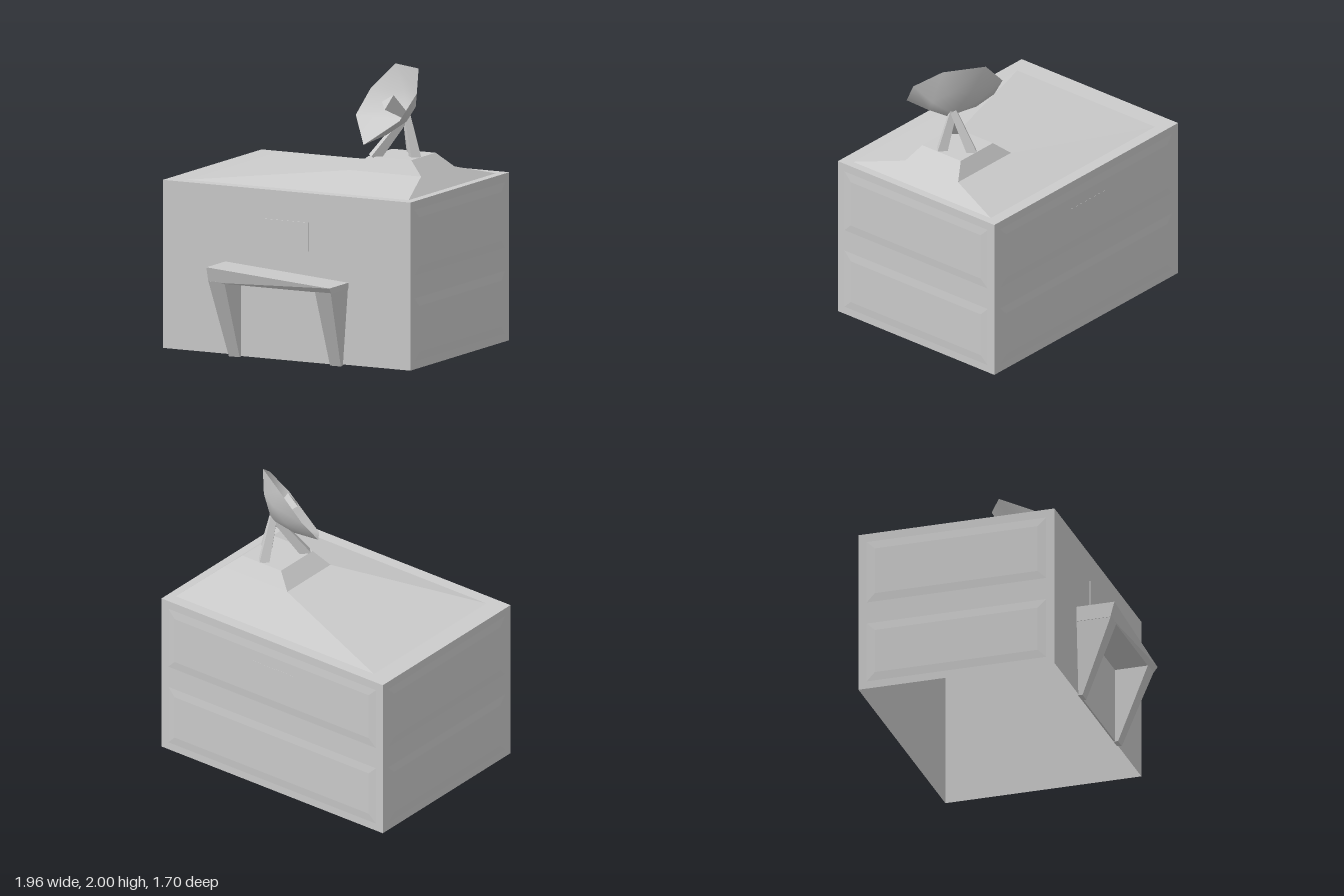
import * as THREE from 'three';

const mat = new THREE.MeshStandardMaterial({ color: 0xcccccc, side: THREE.DoubleSide });
const flat = new THREE.MeshStandardMaterial({ color: 0xcccccc, side: THREE.DoubleSide, flatShading: true });
const V = (x, y, z) => new THREE.Vector3(x, y, z);

function add(parent, name, geometry, material = flat) {
  const mesh = new THREE.Mesh(geometry, material);
  mesh.name = name;
  parent.add(mesh);
  return mesh;
}

// Stack of rectangles [x0, x1, z0, z1, y] joined by sloping sides; the last one is closed.
function rectLoft(levels) {
  const pos = [], idx = [];
  for (const [x0, x1, z0, z1, y] of levels) pos.push(x0, y, z1, x1, y, z1, x1, y, z0, x0, y, z0);
  for (let l = 0; l < levels.length - 1; l++) {
    for (let i = 0; i < 4; i++) {
      const a = l * 4 + i, b = l * 4 + (i + 1) % 4;
      idx.push(a, b, b + 4, a, b + 4, a + 4);
    }
  }
  const t = (levels.length - 1) * 4;
  idx.push(t, t + 1, t + 2, t, t + 2, t + 3);
  const g = new THREE.BufferGeometry();
  g.setAttribute('position', new THREE.Float32BufferAttribute(pos, 3));
  g.setIndex(idx);
  g.computeVertexNormals();
  return g;
}

// Tapered bar between two points
function bar(parent, name, from, to, r0, r1, sides) {
  const dir = to.clone().sub(from);
  const mesh = add(parent, name, new THREE.CylinderGeometry(r1, r0, dir.length(), sides));
  mesh.position.copy(from).add(to).multiplyScalar(0.5);
  mesh.quaternion.setFromUnitVectors(V(0, 1, 0), dir.normalize());
  return mesh;
}

// Walls and roof slab, open underneath
function buildWalls(parent) {
  const g = new THREE.BoxGeometry(1.945, 1.175, 1.42);
  g.setIndex(Array.from(g.index.array).filter((_, i) => i < 18 || i > 23));
  g.clearGroups();
  add(parent, 'walls', g).position.set(-0.0025, 0.6025, -0.135);

  // Two shallow bevelled panels on the back and both sides
  const faces = [
    [-0.0025, -0.845, Math.PI, 1.945],
    [0.97, -0.135, Math.PI / 2, 1.42],
    [-0.975, -0.135, -Math.PI / 2, 1.42],
  ];
  for (const [x, z, turn, width] of faces) {
    for (const [y, h] of [[0.29, 0.44], [0.9, 0.46]]) {
      const w = width / 2 - 0.06, k = h / 2;
      const panel = rectLoft([[-w, w, -k, k, 0], [-w + 0.06, w - 0.06, -k + 0.06, k - 0.06, 0.005]]);
      panel.rotateX(Math.PI / 2);
      const mesh = add(parent, 'wallPanel', panel);
      mesh.position.set(x, y, z);
      mesh.rotation.y = turn;
    }
  }

  // Thin vent plates, front and back
  for (const z of [0.575, -0.845]) {
    add(parent, 'ventPlate', new THREE.BoxGeometry(0.36, 0.2, 0.012)).position.set(-0.01, 0.885, z);
  }
}

// Projecting doorway: lintel and two legs that taper back to the wall
function buildDoorway(parent) {
  const door = new THREE.Group();
  door.name = 'doorway';
  parent.add(door);
  add(door, 'doorPanel', new THREE.BoxGeometry(0.72, 0.55, 0.012)).position.set(0, 0.285, 0.577);

  const profile = (points, width) => {
    const shape = new THREE.Shape(points.map(([z, y]) => new THREE.Vector2(-z, y)));
    const g = new THREE.ExtrudeGeometry(shape, { depth: width, bevelEnabled: false });
    return g.rotateY(Math.PI / 2).translate(-width / 2, 0, 0);
  };
  const lintel = add(door, 'lintel', profile([[0.57, 0.55], [0.82, 0.55], [0.85, 0.645], [0.57, 0.645]], 0.965));
  // Top edge falls slightly toward the left
  const p = lintel.geometry.attributes.position;
  for (let i = 0; i < p.count; i++) {
    if (p.getY(i) > 0.6) p.setY(i, p.getX(i) < 0 ? 0.66 : 0.59);
  }
  for (const s of [-1, 1]) {
    const g = profile([[0.57, 0.01], [0.605, 0.005], [0.825, 0.56], [0.57, 0.56]], 0.12);
    const q = g.attributes.position;
    for (let i = 0; i < q.count; i++) {
      const outer = q.getX(i) * s > 0;
      q.setX(i, s * (outer ? (q.getY(i) < 0.1 ? 0.44 : 0.48) : 0.355));
    }
    g.computeVertexNormals();
    add(door, 'doorLeg', g);
  }
}

// Dish antenna: rim corners joined to a bowl bottom through a bulged middle ring
function buildDish(parent) {
  const dish = new THREE.Group();
  dish.name = 'dishAntenna';
  parent.add(dish);
  const hub = V(0.57, 1.64, -0.13);
  const facing = V(-0.48, 0.59, 0.65).normalize();
  const rim = [
    V(0.37, 1.48, 0.15), V(0.68, 1.68, 0.20), V(0.75, 1.86, 0.08), V(0.66, 2.0, -0.11),
    V(0.39, 1.99, -0.27), V(0.20, 1.80, -0.26), V(0.15, 1.63, -0.14),
  ];
  const n = rim.length;
  const mid = rim.map(r => hub.clone().lerp(r, 0.55).addScaledVector(facing, -0.025));
  const g = new THREE.BufferGeometry().setFromPoints([hub, ...mid, ...rim]);
  const idx = [];
  for (let i = 0; i < n; i++) {
    const a = 1 + i, b = 1 + (i + 1) % n;
    idx.push(0, a, b, a, a + n, b + n, a, b + n, b);
  }
  g.setIndex(idx);
  g.computeVertexNormals();
  add(dish, 'bowl', g, mat);
  bar(dish, 'feedHorn', hub, V(0.47, 1.765, 0.0), 0.02, 0.07, 3);

  // Tripod
  const apex = V(0.56, 1.66, -0.12);
  for (const foot of [V(0.38, 1.37, 0.02), V(0.645, 1.37, -0.09), V(0.53, 1.37, -0.265)]) {
    bar(dish, 'tripodLeg', foot, apex, 0.048, 0.032, 4);
  }
}

export function createModel() {
  const model = new THREE.Group();
  model.name = 'building';
  buildWalls(model);
  // Sloping roof rising to the antenna platform
  add(model, 'roofMound', rectLoft([
    [-0.83, 0.91, -0.76, 0.49, 1.19],
    [0.24, 0.80, -0.37, 0.11, 1.288],
    [0.35, 0.69, -0.30, 0.05, 1.385],
  ]));
  buildDoorway(model);
  buildDish(model);
  return model;
}
